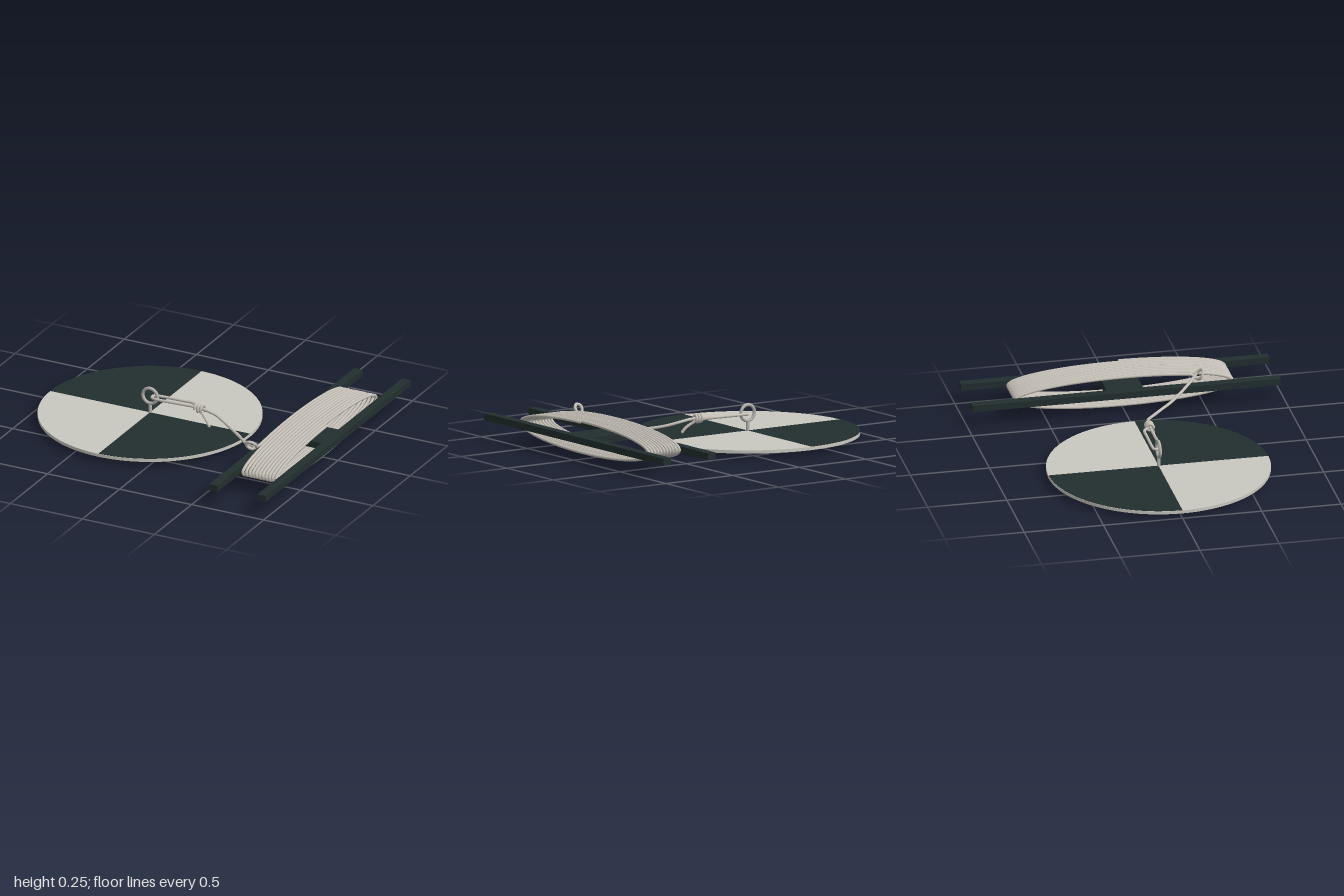
import * as THREE from 'three';

const material = (name, color, side = THREE.FrontSide) => {
  const m = new THREE.MeshStandardMaterial({ color, side });
  m.name = name;
  return m;
};

// Flattened winding of line around the reel
class Winding extends THREE.Curve {
  constructor(start, turns) {
    super();
    this.start = start;
    this.turns = turns;
  }
  getPoint(t, target = new THREE.Vector3()) {
    const a = this.start + t * this.turns * Math.PI * 2;
    return target.set(0.674 + 0.0228 * t * this.turns, 0.13 + 0.095 * Math.sin(a), 0.686 * Math.cos(a));
  }
  // Even angle steps keep the tight ends round
  getPointAt(u, target) { return this.getPoint(u, target); }
  getTangentAt(u, target) { return this.getTangent(u, target); }
}

export function createModel() {
  const model = new THREE.Group();
  model.name = 'measuringDiskWithReel';
  const pale = material('palePaint', 0xc8c8c0);
  const dark = material('darkPaint', 0x222e2e);
  const lead = material('weightGrey', 0x7c7d80);
  const steel = material('steel', 0xb2b1ac);
  const cord = material('cord', 0xc6c1b8);

  const add = (name, geometry, mat, x = 0, y = 0, z = 0, parent = model) => {
    const mesh = new THREE.Mesh(geometry, mat);
    mesh.name = name;
    mesh.position.set(x, y, z);
    parent.add(mesh);
    return mesh;
  };
  const cx = -0.305;

  // Disk with two painted quarters on top
  add('disk', new THREE.CylinderGeometry(0.694, 0.694, 0.02, 96), pale, cx, 0.042);
  for (const start of [-Math.PI / 2, Math.PI / 2]) {
    const quarter = new THREE.CircleGeometry(0.694, 32, start, Math.PI / 2);
    quarter.rotateX(-Math.PI / 2);
    add('darkQuarter', quarter, dark, cx, 0.0535);
  }

  // Weight underneath, stem and eye ring on top
  add('weight', new THREE.CylinderGeometry(0.256, 0.256, 0.033, 64), lead, cx, 0.0165);
  add('eyeStem', new THREE.CylinderGeometry(0.011, 0.011, 0.07, 16), steel, cx, 0.085);
  add('eyeRing', new THREE.TorusGeometry(0.05, 0.0105, 12, 40), steel, cx, 0.165);

  // Reel: two rails joined by a middle plate
  const reel = new THREE.Group();
  reel.name = 'reel';
  model.add(reel);
  for (const x of [0.637, 0.971]) {
    add('rail', new THREE.BoxGeometry(0.057, 0.042, 1.947), dark, x, 0.13, 0, reel);
  }
  add('crossPlate', new THREE.BoxGeometry(0.28, 0.042, 0.23), dark, 0.804, 0.13, 0, reel);
  add('woundLine', new THREE.TubeGeometry(new Winding(0.92, 11.1), 720, 0.0098, 7), cord, 0, 0, 0, reel);

  const rope = (name, points, segments, radius = 0.0095) => {
    const curve = new THREE.CatmullRomCurve3(points.map(p => new THREE.Vector3(...p)));
    add(name, new THREE.TubeGeometry(curve, segments, radius, 8), cord);
    for (const end of [points[0], points[points.length - 1]]) {
      add(name + 'End', new THREE.SphereGeometry(radius, 8, 6), cord, ...end);
    }
  };

  // Loop through the eye ring, with its loose tail
  rope('eyeLoop', [
    [0.1, 0.16, 0.028], [0.04, 0.165, 0.02], [-0.1, 0.163, 0.02], [-0.27, 0.16, 0.018],
    [-0.292, 0.16, 0.002], [-0.288, 0.16, -0.024], [-0.25, 0.162, -0.029], [-0.1, 0.165, -0.029],
    [-0.02, 0.166, -0.027], [0.02, 0.16, -0.005], [0.06, 0.15, 0.02],
    [0.095, 0.125, 0.045], [0.12, 0.105, 0.057], [0.14, 0.079, 0.066],
  ], 120);

  // Knot turns around the strands
  const knot = [];
  for (let i = 0; i <= 28; i++) {
    const a = (i / 8) * Math.PI * 2 * 0.75;
    knot.push([0.025 + i * 0.0019, 0.163 + 0.022 * Math.sin(a), 0.021 + 0.021 * Math.cos(a)]);
  }
  rope('knot', knot, 110, 0.009);

  // Line to the reel, hitched beside the rail
  rope('leadLine', [
    [0.06, 0.165, 0.022], [0.12, 0.159, 0.03], [0.18, 0.148, 0.04], [0.25, 0.13, 0.072],
    [0.33, 0.115, 0.12], [0.41, 0.109, 0.18], [0.48, 0.116, 0.25], [0.55, 0.14, 0.325],
    [0.61, 0.17, 0.39], [0.655, 0.192, 0.435], [0.668, 0.22, 0.46], [0.645, 0.244, 0.485],
    [0.614, 0.232, 0.482], [0.612, 0.203, 0.468], [0.638, 0.186, 0.455], [0.662, 0.198, 0.435],
    [0.674, 0.2056, 0.4156],
  ], 160);

  return model;
}
